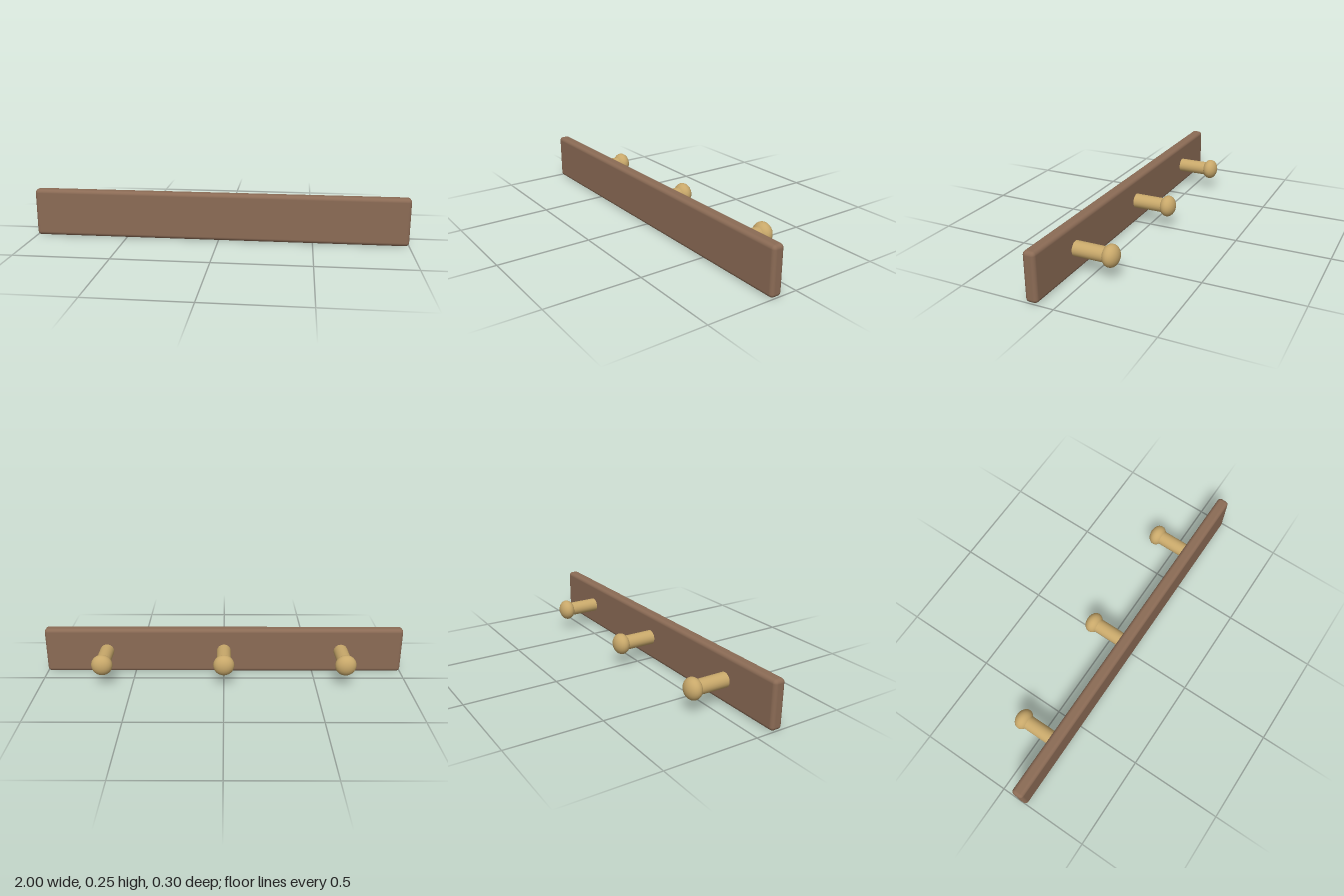
import * as THREE from 'three';
import { RoundedBoxGeometry } from 'three/addons/geometries/RoundedBoxGeometry.js';

export function createModel() {
  const model = new THREE.Group();
  const wood = new THREE.MeshStandardMaterial({ color: 0x8b6b55 });
  const brass = new THREE.MeshStandardMaterial({ color: 0xc8a86a });
  const midY = 0.128;

  // Long backing board with softened edges
  const board = new THREE.Mesh(new RoundedBoxGeometry(2, 0.255, 0.064, 3, 0.02), wood);
  board.name = 'board';
  board.position.set(0, midY, 0.117);
  model.add(board);

  // Three pegs, each a round shaft with a flattened ball at its end
  const shaftGeometry = new THREE.CylinderGeometry(0.039, 0.039, 0.19, 24).rotateX(Math.PI / 2);
  const knobGeometry = new THREE.SphereGeometry(0.057, 24, 16).scale(1, 1, 0.75);
  for (const x of [-0.655, 0, 0.655]) {
    const peg = new THREE.Group();
    peg.name = 'peg';
    peg.position.set(x, midY, 0);

    const shaft = new THREE.Mesh(shaftGeometry, brass);
    shaft.name = 'pegShaft';
    shaft.position.z = 0.005;

    const knob = new THREE.Mesh(knobGeometry, brass);
    knob.name = 'pegKnob';
    knob.position.z = -0.105;

    peg.add(shaft, knob);
    model.add(peg);
  }
  return model;
}
